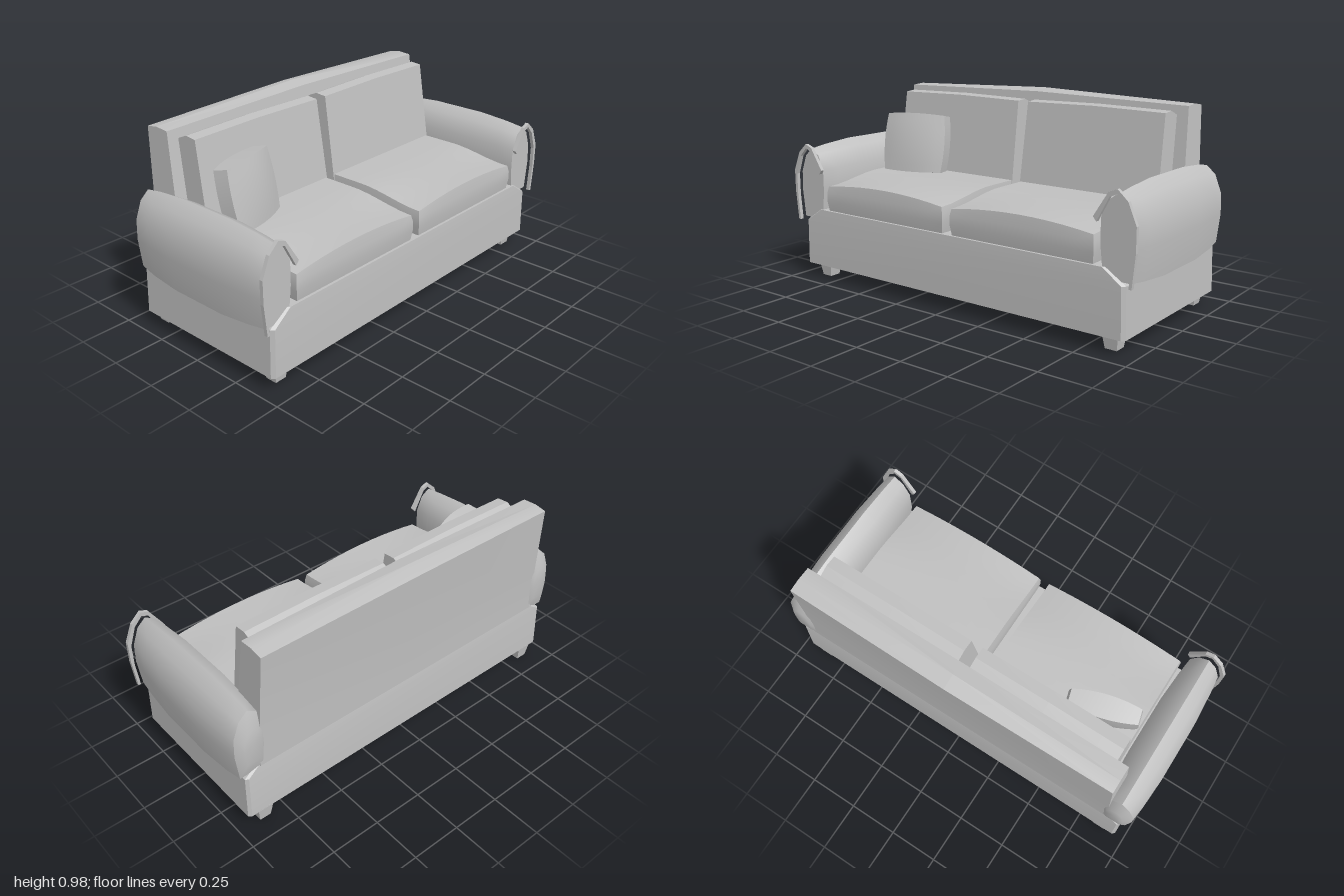
import * as THREE from 'three';
import { toCreasedNormals } from 'three/addons/utils/BufferGeometryUtils.js';

const V = (x, y, z) => new THREE.Vector3(x, y, z);

// Skin a row of closed rings (counter-clockwise seen from the far end), with optional end caps
function loft(rings, { start = true, end = true, crease = 0.6 } = {}) {
  const n = rings[0].length, pos = [], idx = [];
  rings.flat().forEach(p => pos.push(p.x, p.y, p.z));
  for (let r = 0; r < rings.length - 1; r++) {
    for (let i = 0; i < n; i++) {
      const j = (i + 1) % n, a = r * n, b = a + n;
      idx.push(a + i, a + j, b + j, a + i, b + j, b + i);
    }
  }
  const cap = (ring, base, flip) => {
    const c = ring.reduce((s, p) => s.add(p), V(0, 0, 0)).divideScalar(n);
    const k = pos.length / 3;
    pos.push(c.x, c.y, c.z);
    for (let i = 0; i < n; i++) {
      const j = (i + 1) % n;
      idx.push(k, base + (flip ? j : i), base + (flip ? i : j));
    }
  };
  if (start) cap(rings[0], 0, true);
  if (end) cap(rings[rings.length - 1], (rings.length - 1) * n, false);
  const g = new THREE.BufferGeometry();
  g.setAttribute('position', new THREE.Float32BufferAttribute(pos, 3));
  g.setIndex(idx);
  return toCreasedNormals(g, crease);
}

// Box whose vertices are moved by a rule of their -1..1 coordinates
function softBox(w, h, d, seg, rule) {
  const g = new THREE.BoxGeometry(w, h, d, ...seg), p = g.attributes.position;
  for (let i = 0; i < p.count; i++) {
    const q = V(p.getX(i), p.getY(i), p.getZ(i));
    rule(q, q.x * 2 / w, q.y * 2 / h, q.z * 2 / d);
    p.setXYZ(i, q.x, q.y, q.z);
  }
  g.computeVertexNormals();
  return g;
}

export function createModel() {
  const sofa = new THREE.Group();
  sofa.name = 'sofa';
  const fabric = new THREE.MeshStandardMaterial({ color: 0xc0c0c0, side: THREE.DoubleSide });
  fabric.name = 'grey fabric';
  const add = (name, geometry) => {
    const m = new THREE.Mesh(geometry, fabric);
    m.name = name;
    sofa.add(m);
    return m;
  };

  // Base: hollow skirt with clipped corners, open underneath
  const baseRing = (x, y, f, b) => [
    V(x - 0.015, y, f), V(x, y, f - 0.015), V(x, y, b + 0.01), V(x - 0.015, y, b),
    V(-x + 0.015, y, b), V(-x, y, b + 0.01), V(-x, y, f - 0.015), V(-x + 0.015, y, f)];
  add('base', loft([
    baseRing(0.95, 0.07, 0.43, -0.41), baseRing(0.945, 0.3, 0.43, -0.405),
    baseRing(0.85, 0.365, 0.425, -0.395)], { start: false, crease: 0.4 }));

  // Backrest: leaning slab with a crowned top, flaring slightly towards the seat
  const backSection = [[-0.22, 0.34], [-0.405, 0.34], [-0.41, 0.58], [-0.432, 0.945],
    [-0.37, 0.955], [-0.30, 0.95]];
  add('backrest', loft([-0.84, 0, 0.84].map(x => backSection.map(([z, y], i) => {
    const mid = x === 0 && i > 2;
    return V(x * (1 + 0.05 * (0.95 - y)), y + (mid ? (i === 4 ? 0.025 : 0.015) : 0),
      z - (mid && i === 3 ? 0.012 : 0));
  })), { crease: 0.35 }));

  // Arm: bulging padded section, domed at the rear
  const armSection = [[0.82, 0.29], [0.98, 0.29], [1.0, 0.45], [0.995, 0.56], [0.955, 0.655],
    [0.9, 0.70], [0.84, 0.665], [0.8, 0.58], [0.8, 0.45]];
  const armStations = [ // z, width scale, height scale
    [-0.418, 0.45, 0.45], [-0.39, 0.8, 0.87], [-0.3, 0.91, 0.94], [-0.14, 1, 1],
    [0.16, 1, 1], [0.32, 0.9, 0.94], [0.415, 0.8, 0.88]];
  // Trim: narrow arched band hung just in front of each arm
  const trimLine = [[0.985, 0.3], [1.0, 0.45], [1.0, 0.56], [0.96, 0.655], [0.91, 0.70],
    [0.87, 0.685], [0.80, 0.575]];

  for (const s of [1, -1]) {
    const side = s > 0 ? 'left' : 'right';
    const rings = armStations.map(([z, sx, sy]) => {
      const ring = armSection.map(([x, y]) =>
        V(s * (0.9 + (x - 0.9) * sx), 0.49 + (y - 0.49) * sy, z));
      return s > 0 ? ring : ring.reverse();
    });
    add(side + 'Arm', loft(rings, { crease: 0.75 }));

    const inner = trimLine.map(([x, y]) => [0.9 + (x - 0.9) * 0.84, y > 0.31 ? y - 0.02 : y]).reverse();
    const shape = new THREE.Shape([...trimLine, ...inner].map(([x, y]) => new THREE.Vector2(s * x, y)));
    const trim = new THREE.ExtrudeGeometry(shape, { depth: 0.018, bevelEnabled: false });
    add(side + 'ArmTrim', trim.translate(0, 0, 0.427));

    // Seat cushion: flat at the back, puffed top drooping to the front corners
    const seat = softBox(0.77, 0.15, 0.66, [10, 3, 10], (q, u, v, w) => {
      const front = THREE.MathUtils.smoothstep(w, -0.1, 1);
      if (v > 0) q.y += v * (0.015 - front * (0.012 + 0.028 * u * u));
      q.x *= 1 - 0.02 * v * v;
      q.z += w > 0 ? -0.008 * v * v * w : 0;
    });
    add(side + 'SeatCushion', seat).position.set(s * 0.407, 0.44, 0.09);

    // Back cushion: leaning slab with a shallow ridge
    const cushion = [[-0.12, 0.5], [-0.25, 0.5], [-0.298, 0.905], [-0.24, 0.93], [-0.182, 0.925]];
    const xs = s > 0 ? [0.03, 0.407, 0.785] : [-0.785, -0.407, -0.03];
    add(side + 'BackCushion', loft(xs.map((x, k) => cushion.map(([z, y]) => {
      const flare = (k - 1) * 0.015 * (0.93 - y);
      return V(x + flare, y + (y > 0.6 && k === 1 ? 0.006 : 0), z);
    })), { crease: 0.3 }));

    // Feet: square and tapered
    for (const [end, z] of [['Front', 0.35], ['Rear', -0.37]]) {
      const foot = new THREE.CylinderGeometry(0.04 * Math.SQRT2, 0.029 * Math.SQRT2, 0.075, 4)
        .rotateY(Math.PI / 4);
      add(side + end + 'Foot', toCreasedNormals(foot, 0.3)).position.set(s * 0.86, 0.0375, z);
    }
  }

  // Throw pillow resting against the right back cushion
  const pillow = softBox(0.35, 0.31, 0.13, [8, 8, 2], (q, u, v) => {
    q.z *= 0.55 + 0.45 * (1 - u * u) * (1 - 0.35 * v * v);
    q.x *= 1 - 0.07 * v * v;
    q.y *= 1 - 0.04 * u * u;
  });
  const p = add('throwPillow', pillow);
  p.position.set(-0.605, 0.672, -0.06);
  p.rotation.set(-0.2, 0.27, 0, 'YXZ');

  return sofa;
}
